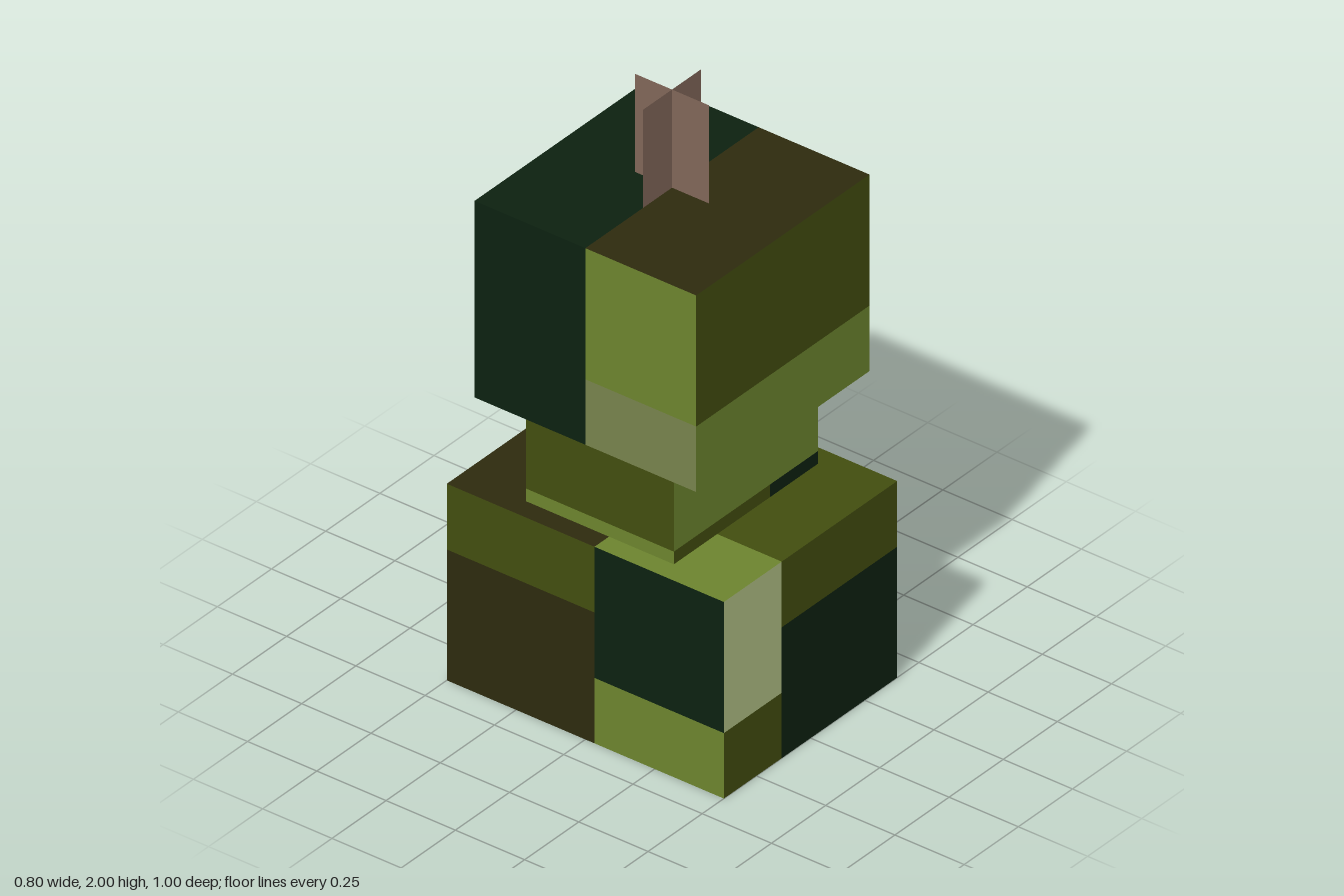
import * as THREE from 'three';

const mat = (name, color) => {
  const m = new THREE.MeshStandardMaterial({ color });
  m.name = name;
  return m;
};
const olive = mat('olive', 0x424d0f);
const moss = mat('moss green', 0x6c842e);
const forest = mat('dark forest green', 0x0c2110);
const bark = mat('dark brown', 0x2d2a0e);
const lime = mat('lime', 0xabca4c);
const pale = mat('pale green', 0xb0bf85);
const sage = mat('grey sage', 0x77824c);
const stemBrown = mat('stem brown', 0x806658);
stemBrown.side = THREE.DoubleSide;

// Outward-facing rectangle on one face of a block.
// front/back: (x, y) ranges; left/right: (z, y) ranges; top/bottom: (x, z) ranges
function patch(face, at, [a0, a1, b0, b1]) {
  const g = new THREE.PlaneGeometry(a1 - a0, b1 - b0);
  const a = (a0 + a1) / 2, b = (b0 + b1) / 2;
  if (face === 'front') g.translate(a, b, at);
  if (face === 'back') g.rotateY(Math.PI).translate(a, b, at);
  if (face === 'left') g.rotateY(Math.PI / 2).translate(at, b, a);
  if (face === 'right') g.rotateY(-Math.PI / 2).translate(at, b, a);
  if (face === 'top') g.rotateX(-Math.PI / 2).translate(a, at, b);
  if (face === 'bottom') g.rotateX(Math.PI / 2).translate(a, at, b);
  return g;
}

// A box whose faces are divided into coloured rectangles
function block(name, x, y0, y1, z, faces) {
  const group = new THREE.Group();
  group.name = name;
  const at = { front: z, back: -z, left: x, right: -x, top: y1, bottom: y0 };
  for (const [face, patches] of Object.entries(faces)) {
    patches.forEach(([material, ...range], i) => {
      const mesh = new THREE.Mesh(patch(face, at[face], range), material);
      mesh.name = `${name} ${face} panel ${i + 1}`;
      group.add(mesh);
    });
  }
  return group;
}

export function createModel() {
  const model = new THREE.Group();
  model.name = 'stackedBlocks';

  // Wide base block
  const X = 0.4, Z = 0.5, T = 0.667, s = -0.133, h = 0.033, p = 0.222, q = 0.444;
  model.add(block('base', X, 0, T, Z, {
    front: [[pale, -X, s, p, T], [olive, -X, s, 0, p], [olive, s, X, q, T], [forest, s, X, 0, q]],
    back: [[forest, s, X, p, T], [bark, s, X, 0, p], [moss, -X, s, q, T], [olive, -X, s, 0, q]],
    left: [[forest, h, Z, q, T], [bark, h, Z, 0, q], [forest, -Z, h, p, T], [bark, -Z, h, 0, p]],
    right: [[olive, -Z, h, q, T], [bark, -Z, h, 0, q], [forest, h, Z, p, T], [moss, h, Z, 0, p]],
    top: [[moss, -X, s, h, Z], [olive, s, X, h, Z], [bark, -X, X, -Z, h]],
    bottom: [[forest, s, X, h, Z], [bark, s, X, -Z, h], [olive, -X, s, h, Z], [forest, -X, s, -Z, h]],
  }));

  // Narrow waist with a dark strip along its foot
  const wx = 0.333, wz = 0.267, f = 0.71;
  model.add(block('waist', wx, T, 1, wz, {
    front: [[moss, -wx, wx, f, 1], [olive, -wx, 0.11, T, f], [forest, 0.11, wx, T, f]],
    back: [[olive, -wx, wx, f, 1], [forest, -wx, wx, T, f]],
    left: [[moss, 0.005, wz, f, 1], [olive, -wz, 0.005, f, 1], [forest, -wz, wz, T, f]],
    right: [[olive, -wz, wz, f, 1], [moss, -wz, wz, T, f]],
  }));

  // Cubic head block
  const H = 1.667, m = 1.222;
  model.add(block('head', X, 1, H, X, {
    front: [[olive, -X, X, m, H], [moss, -X, X, 1, m]],
    back: [[olive, -X, X, m, H], [olive, 0, X, 1, m], [forest, -X, 0, 1, m]],
    left: [[olive, 0, X, 1, H], [forest, -X, 0, m, H], [lime, -X, 0, 1, m]],
    right: [[forest, -X, 0, 1, H], [moss, 0, X, m, H], [sage, 0, X, 1, m]],
    top: [[forest, -X, X, -X, 0], [bark, -X, X, 0, X]],
    bottom: [[olive, 0, X, -X, 0], [sage, -X, 0, -X, 0], [moss, -X, X, 0, X]],
  }));

  // Stem of two crossed flat sheets
  const stem = new THREE.Group();
  stem.name = 'stem';
  for (const turn of [0, Math.PI / 2]) {
    const sheet = new THREE.Mesh(new THREE.PlaneGeometry(0.266, 2 - H), stemBrown);
    sheet.name = 'stemSheet';
    sheet.position.y = (H + 2) / 2;
    sheet.rotation.y = turn;
    stem.add(sheet);
  }
  model.add(stem);
  return model;
}
